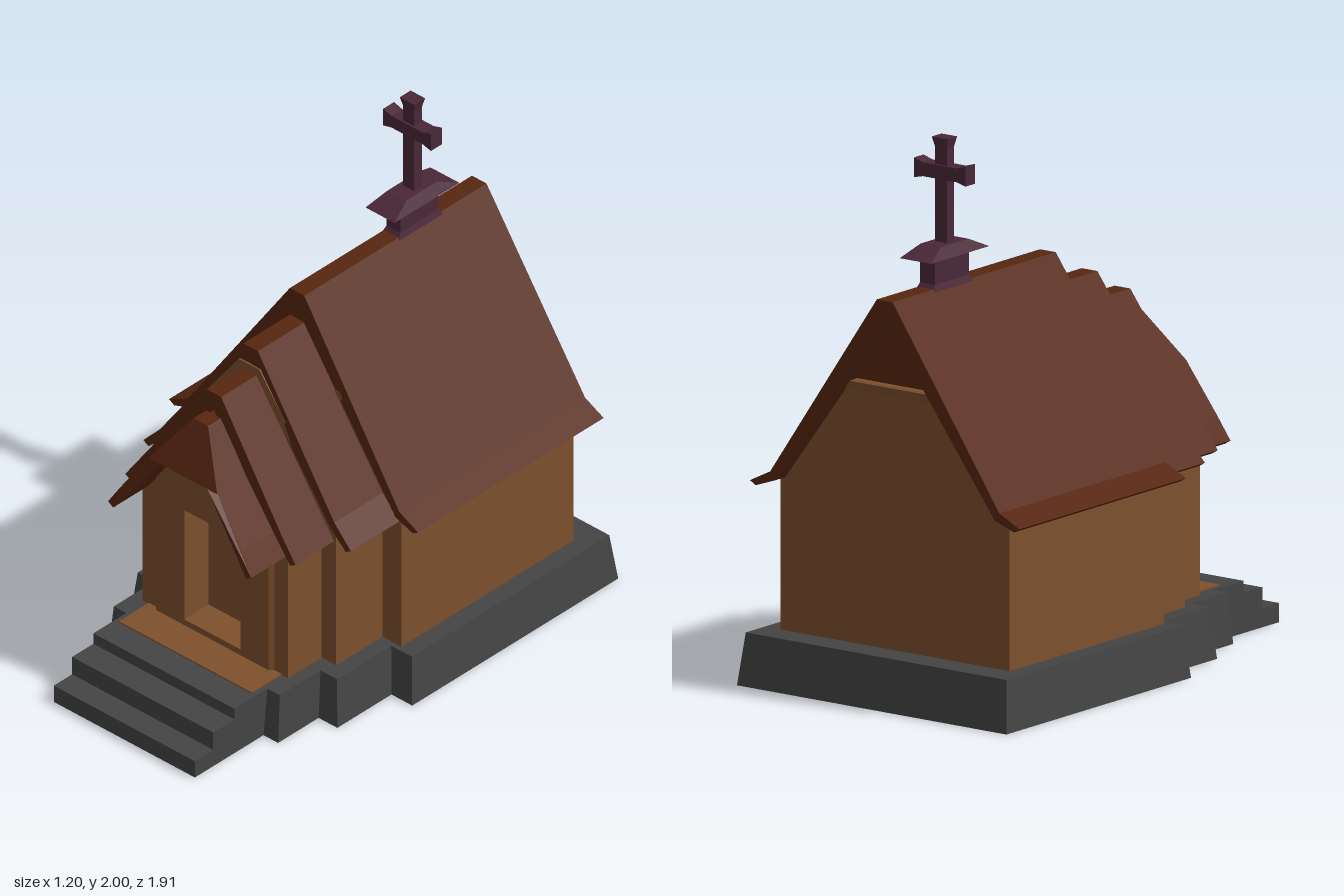
import * as THREE from 'three';

const mat = (color) => new THREE.MeshStandardMaterial({ color, flatShading: true, side: THREE.DoubleSide });

export function createModel() {
  const group = new THREE.Group();
  group.name = 'chapel';
  const wood = mat(0x7d502d), roofWood = mat(0x572610), stone = mat(0x444444), iron = mat(0x4a2838);

  const add = (name, geometry, material, parent = group) => {
    const mesh = new THREE.Mesh(geometry, material);
    mesh.name = name;
    parent.add(mesh);
    return mesh;
  };

  // Right half of an outline, mirrored into a closed shape
  const mirrored = (half) => new THREE.Shape(
    [...half, ...half.slice().reverse().filter(([x]) => x > 0).map(([x, y]) => [-x, y])]
      .map(([x, y]) => new THREE.Vector2(x, y)));

  // Extrude between z0 and z1; rule may move each vertex
  const slab = (shape, z0, z1, rule) => {
    const g = new THREE.ExtrudeGeometry(shape, { depth: z1 - z0, bevelEnabled: false });
    g.translate(0, 0, z0);
    if (rule) {
      const p = g.attributes.position;
      for (let i = 0; i < p.count; i++) {
        const v = new THREE.Vector3().fromBufferAttribute(p, i);
        rule(v);
        p.setXYZ(i, v.x, v.y, v.z);
      }
      g.computeVertexNormals();
    }
    return g;
  };

  // Block with different rectangles at bottom and top: [halfX, zBack, zFront]
  const taper = (y0, y1, bottom, top) => {
    const g = new THREE.BoxGeometry(2, y1 - y0, 1);
    const p = g.attributes.position;
    for (let i = 0; i < p.count; i++) {
      const up = p.getY(i) > 0;
      const [hx, zb, zf] = up ? top : bottom;
      p.setXYZ(i, p.getX(i) * hx, up ? y1 : y0, p.getZ(i) > 0 ? zf : zb);
    }
    g.computeVertexNormals();
    return g;
  };

  // Stone base, stepping in toward the front
  add('mainFoundation', taper(0, 0.19, [0.6, -0.955, 0.11], [0.58, -0.93, 0.09]), stone);
  add('middleFoundation', taper(0, 0.19, [0.5, 0, 0.39], [0.48, 0, 0.37]), stone);
  add('porchFoundation', taper(0, 0.19, [0.41, 0.2, 0.6], [0.4, 0.2, 0.58]), stone);
  [[0.19, 0.75], [0.145, 0.86], [0.07, 0.955]].forEach(([h, z], i) =>
    add(`frontStep${i + 1}`, taper(0, h, [0.34, 0.45, z], [0.34, 0.45, z]), stone));
  add('porchFloor', taper(0.18, 0.195, [0.32, 0.45, 0.64], [0.32, 0.45, 0.64]), wood);

  // Bays: wall half width, eave half width, ridge, kink and eave heights, roof z range
  const bays = [
    { name: 'nave', w: 0.51, e: 0.6, ridge: 1.47, kink: 0.775, eave: 0.715, z0: -0.88, z1: 0.08 },
    { name: 'middle', w: 0.42, e: 0.5, ridge: 1.355, kink: 0.81, eave: 0.71, z0: 0, z1: 0.32 },
    { name: 'front', w: 0.35, e: 0.41, ridge: 1.255, kink: 0.805, eave: 0.705, z0: 0.2, z1: 0.51 },
    { name: 'porch', w: 0.29, e: 0.345, ridge: 1.165, kink: 0.8, eave: 0.7, z0: 0.4, z1: 0.67, hip: true },
  ];

  // Front edge of the clipped porch gable
  const hipZ = (y) => (y >= 0.98 ? 0.65 - (y - 0.98) * 0.5 : 0.65 + (0.98 - y) * 0.07);

  for (const b of bays) {
    const section = [
      [0.035, b.ridge], ...(b.hip ? [[0.165, 0.98]] : []),
      [b.w, b.kink], [b.e, b.eave + 0.015], [b.e - 0.025, b.eave], [b.w - 0.02, b.kink - 0.03],
      ...(b.hip ? [[0.115, 0.98]] : []), [0, b.ridge - (b.hip ? 0.035 : 0.07)],
    ];
    add(`${b.name}Roof`, slab(mirrored(section), b.z0, b.z1, (v) => {
      if (v.z < b.z1 - 0.01) return;
      if (b.hip) v.z = hipZ(v.y);
      else if (v.y > b.kink + 0.2) v.z -= 0.018;
    }), roofWood);
  }
  add('porchHip', slab(mirrored([[0.035, 1.165], [0.165, 0.98]]), -0.022, 0.002,
    (v) => { v.z += hipZ(v.y); }), roofWood);

  // Gabled walls, cut flat at half width tx, with an optional door opening
  const wallShape = (b, tx, door) => {
    const s = mirrored([[tx, b.kink - 0.02 + 1.34 * (b.w - tx)], [b.w, b.kink - 0.02], [b.w, 0.19]]);
    if (door) {
      s.holes.push(new THREE.Path([[-0.135, 0.22], [-0.135, 0.69], [0.135, 0.69], [0.135, 0.22]]
        .map(([x, y]) => new THREE.Vector2(x, y))));
    }
    return s;
  };
  const [nave, middle, front, porch] = bays;
  add('naveWalls', slab(wallShape(nave, 0.22), -0.82, 0.07), wood);
  add('naveGable', slab(mirrored([[0.03, 1.4], [0.22, 1.143]]), -0.79, 0.06), roofWood);
  add('rearGableBeam', taper(1.11, 1.143, [0.225, -0.825, -0.78], [0.22, -0.835, -0.78]), wood);
  add('middleWalls', slab(wallShape(middle, 0.05), 0, 0.31), wood);
  add('frontWallsAndDoor', slab(wallShape(front, 0.05), 0.2, 0.375), wood);
  add('frontWallOpening', slab(wallShape(front, 0.05, true), 0.375, 0.485), wood);
  add('doorSurround', slab(wallShape(porch, 0.05, true), 0.48, 0.5, (v) => {
    if (v.z > 0.49 && Math.abs(v.x) > 0.2) v.x -= Math.sign(v.x) * 0.02;
  }), wood);

  // Ridge turret and cross, built around its own z centre
  const turret = new THREE.Group();
  turret.name = 'ridgeTurret';
  turret.position.z = -0.535;
  group.add(turret);
  const block = (name, y0, y1, bx, bz, tx = bx, tz = bz) =>
    add(name, taper(y0, y1, [bx, -bz, bz], [tx, -tz, tz]), iron, turret);
  block('turretFoot', 1.45, 1.485, 0.045, 0.12, 0.033, 0.098);
  block('turretBody', 1.45, 1.585, 0.033, 0.098);
  block('turretCap', 1.58, 1.62, 0.07, 0.168, 0.045, 0.08);
  block('crossPost', 1.61, 1.965, 0.027, 0.02);
  block('crossTop', 1.965, 2, 0.027, 0.02, 0.035, 0.028);
  // Crossbar, flaring toward its ends
  const bar = mirrored([[0.027, 1.9], [0.075, 1.9], [0.115, 1.912], [0.115, 1.84], [0.075, 1.85], [0.027, 1.85]]);
  add('crossBar', slab(bar, -0.028, 0.028), iron, turret);

  return group;
}
